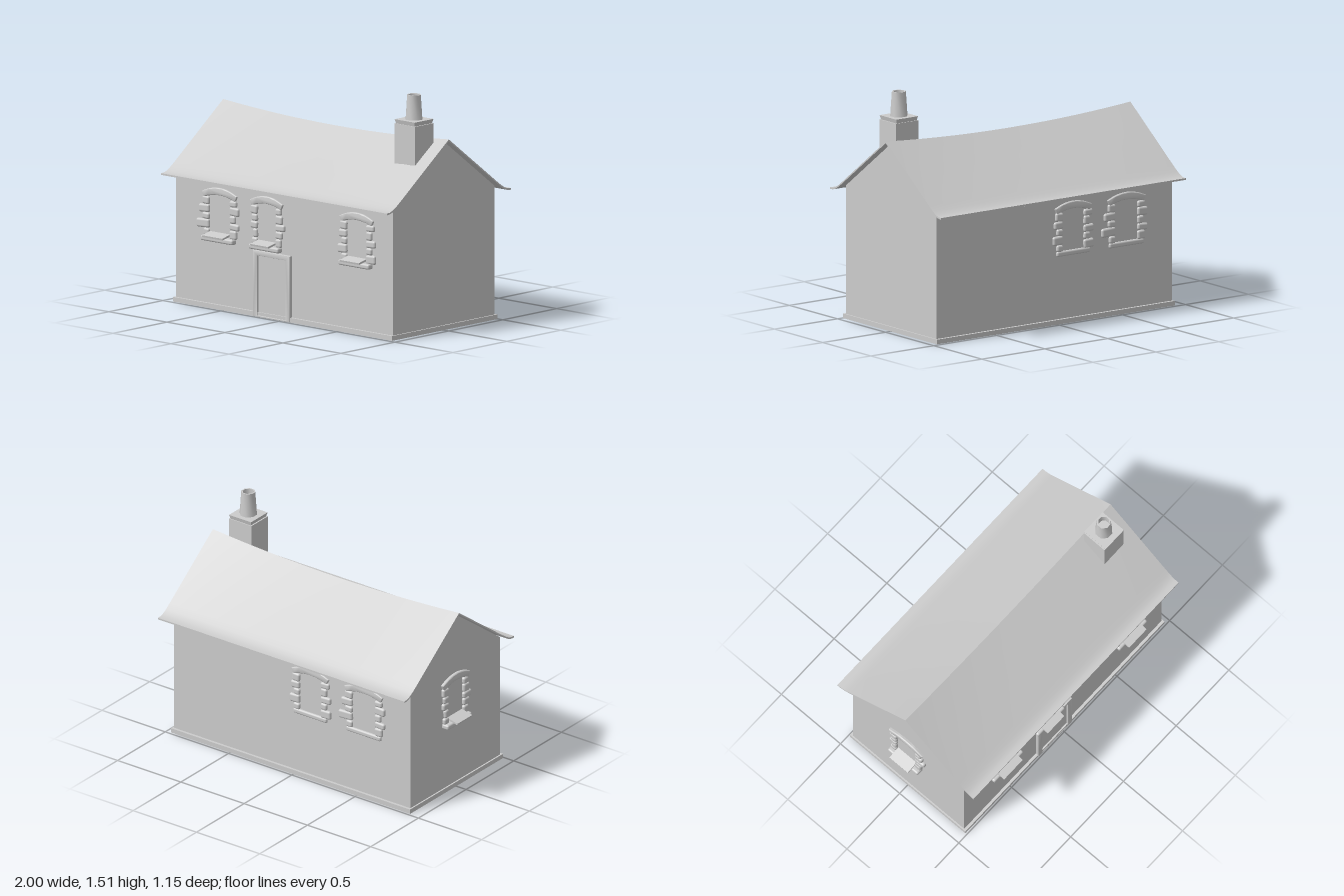
import * as THREE from 'three';
import { toCreasedNormals } from 'three/addons/utils/BufferGeometryUtils.js';
import { RoundedBoxGeometry } from 'three/addons/geometries/RoundedBoxGeometry.js';

const grey = new THREE.MeshStandardMaterial({ color: 0xcccccc, side: THREE.DoubleSide });

// Wall extents
const X0 = -0.915, X1 = 0.955, Z = 0.47, MID = (X0 + X1) / 2, EAVE = 0.86;

function add(parent, name, geometry, x = 0, y = 0, z = 0) {
  const mesh = new THREE.Mesh(geometry, grey);
  mesh.name = name;
  mesh.position.set(x, y, z);
  parent.add(mesh);
  return mesh;
}

function rectangle(Type, x0, y0, x1, y1) {
  const p = new Type();
  p.moveTo(x0, y0);
  p.lineTo(x1, y0);
  p.lineTo(x1, y1);
  p.lineTo(x0, y1);
  p.closePath();
  return p;
}

// Open-bottomed shell: two long walls and two gables
function buildWalls(house) {
  const walls = new THREE.Group();
  walls.name = 'walls';
  house.add(walls);
  const long = new THREE.PlaneGeometry(X1 - X0, EAVE);
  add(walls, 'frontWall', long, MID, EAVE / 2, Z);
  add(walls, 'backWall', long, MID, EAVE / 2, -Z).rotation.y = Math.PI;
  const gable = new THREE.ShapeGeometry(new THREE.Shape(
    [[-Z, 0], [Z, 0], [Z, EAVE], [0, 1.212], [-Z, EAVE]].map(p => new THREE.Vector2(...p))));
  add(walls, 'leftGable', gable, X1).rotation.y = Math.PI / 2;
  add(walls, 'rightGable', gable, X0).rotation.y = -Math.PI / 2;

  // Low plinth ring around the base
  const ring = rectangle(THREE.Shape, X0 - 0.01, -Z - 0.018, X1 + 0.01, Z + 0.018);
  ring.holes.push(rectangle(THREE.Path, X0, -Z, X1, Z));
  const plinth = new THREE.ExtrudeGeometry(ring, { depth: 0.03, bevelEnabled: false });
  add(house, 'plinth', plinth.rotateX(-Math.PI / 2));
}

// Thin roof with flared eaves and a sagging ridge
function buildRoof(house) {
  const half = [[0, 1.23], [0.45, 0.8925], [0.49, 0.864], [0.52, 0.846], [0.548, 0.837], [0.575, 0.835]];
  const top = [...half.slice(1).reverse().map(([z, y]) => [-z, y]), ...half];
  const under = top.map(([z, y]) => [z, y - 0.011]).reverse();
  const shape = new THREE.Shape([...top, ...under].map(p => new THREE.Vector2(...p)));
  const x0 = -0.945, length = 1.945;
  const geo = new THREE.ExtrudeGeometry(shape, { depth: length, steps: 14, bevelEnabled: false });
  geo.rotateY(Math.PI / 2).translate(x0, 0, 0);
  const pos = geo.attributes.position;
  for (let i = 0; i < pos.count; i++) {
    const t = (pos.getX(i) - x0) / length * 2 - 1;
    const weight = Math.max(0, 1 - Math.abs(pos.getZ(i)) / 0.5);
    pos.setY(i, pos.getY(i) - 0.04 * (1 - t * t) * weight);
  }
  add(house, 'roof', toCreasedNormals(geo, 0.5));
}

// Stack, flared cap and hollow eight-sided pot
function buildChimney(house) {
  const chimney = new THREE.Group();
  chimney.name = 'chimney';
  chimney.position.set(0.807, 0, 0.115);
  house.add(chimney);
  const stack = new THREE.BoxGeometry(0.178, 0.28, 0.172);
  const p = stack.attributes.position;
  for (let i = 0; i < p.count; i++) {
    // the foot follows the roof slope
    if (p.getY(i) < 0) p.setY(i, p.getY(i) - p.getZ(i) * 0.75 - 0.05);
  }
  stack.computeVertexNormals();
  add(chimney, 'chimneyStack', stack, 0, 1.185, 0);
  const cap = new THREE.CylinderGeometry(0.123, 0.113, 0.028, 4).rotateY(Math.PI / 4);
  add(chimney, 'chimneyCap', toCreasedNormals(cap, 0.5), 0, 1.338, 0);
  const profile = [[0.057, 1.35], [0.046, 1.51], [0.037, 1.51], [0.037, 1.44], [0, 1.44]];
  const pot = new THREE.LatheGeometry(profile.map(q => new THREE.Vector2(...q)), 8, Math.PI / 8);
  add(chimney, 'chimneyPot', toCreasedNormals(pot, 0.9));
}

// Door surround with a slightly recessed panel
function buildDoor(house) {
  const door = new THREE.Group();
  door.name = 'door';
  house.add(door);
  const outer = rectangle(THREE.Shape, -0.23, 0, 0.08, 0.415);
  outer.holes.push(rectangle(THREE.Path, -0.2, 0.001, 0.05, 0.395));
  const frame = new THREE.ExtrudeGeometry(outer, {
    depth: 0.03, bevelThickness: 0.008, bevelSize: 0.006, bevelSegments: 2,
  });
  add(door, 'doorFrame', toCreasedNormals(frame, 0.7), 0, 0.004, Z - 0.016);
  add(door, 'doorPanel', new THREE.BoxGeometry(0.25, 0.395, 0.016), -0.075, 0.2, Z);
}

// Arched lintel shared by every window
function lintelGeometry(w) {
  const a = w / 2 + 0.045;
  const s = new THREE.Shape();
  s.moveTo(-a, 0.24);
  s.quadraticCurveTo(0, 0.288, a, 0.24);
  s.lineTo(a + 0.012, 0.266);
  s.quadraticCurveTo(0, 0.334, -a - 0.012, 0.266);
  s.closePath();
  const geo = new THREE.ExtrudeGeometry(s, {
    depth: 0.008, bevelThickness: 0.009, bevelSize: 0.006, bevelSegments: 3, curveSegments: 10,
  });
  return toCreasedNormals(geo, 0.9);
}

// Rough stone surround; left and right list stone widths from the bottom up
function buildWindow(house, name, { w, left, right, slab }) {
  const win = new THREE.Group();
  win.name = name;
  house.add(win);
  const sides = [[-1, left], [1, right]];
  for (const [side, widths] of sides) {
    let y = -0.012;
    widths.forEach((width, i) => {
      const h = 0.05 + 0.008 * Math.sin(i * 2.3 + side + w * 40);
      const stone = new RoundedBoxGeometry(width, h, 0.032, 3, 0.014);
      const x = side * (w / 2 + width / 2);
      const mesh = add(win, 'jambStone', stone, x, y + h / 2, 0);
      mesh.rotation.z = 0.06 * Math.sin(i * 3.1 + side);
      y += h;
    });
  }
  add(win, 'lintel', lintelGeometry(w), 0, 0, -0.004);
  const sill = new RoundedBoxGeometry(w + 0.1, 0.034, slab ? 0.08 : 0.03, 3, 0.012);
  add(win, 'sillStone', sill, 0, -0.025, 0);
  if (slab) {
    // sloping slab that sheds water
    const board = add(win, 'sillSlab', new THREE.BoxGeometry(w, 0.012, 0.085), 0, 0.004, 0.033);
    board.rotation.x = 0.22;
  }
  return win;
}

export function createModel() {
  const house = new THREE.Group();
  house.name = 'cottage';
  buildWalls(house);
  buildRoof(house);
  buildChimney(house);
  buildDoor(house);

  const wide = { w: 0.175, left: [0.05, 0.11, 0.06, 0.09, 0.06], right: [0.06, 0.08, 0.05, 0.08, 0.06] };
  const narrow = { w: 0.155, left: [0.05, 0.04, 0.06, 0.05, 0.06], right: [0.05, 0.06, 0.08, 0.06, 0.05] };
  const mixed = { w: 0.165, left: [0.05, 0.08, 0.05, 0.07, 0.06], right: [0.08, 0.05, 0.08, 0.05, 0.07] };
  const Y = 0.475;
  const front = [[-0.533, wide], [-0.128, narrow], [0.648, mixed]];
  for (const [x, style] of front) {
    buildWindow(house, 'frontWindow', { ...style, slab: true }).position.set(x, Y, Z);
  }
  for (const [x, style] of [[-0.128, mixed], [-0.55, wide]]) {
    const win = buildWindow(house, 'backWindow', style);
    win.position.set(x, Y, -Z);
    win.rotation.y = Math.PI;
  }
  const gableWindow = buildWindow(house, 'gableWindow', { ...narrow, slab: true });
  gableWindow.position.set(X0 - 0.008, Y + 0.022, -0.01);
  gableWindow.rotation.y = -Math.PI / 2;
  return house;
}
